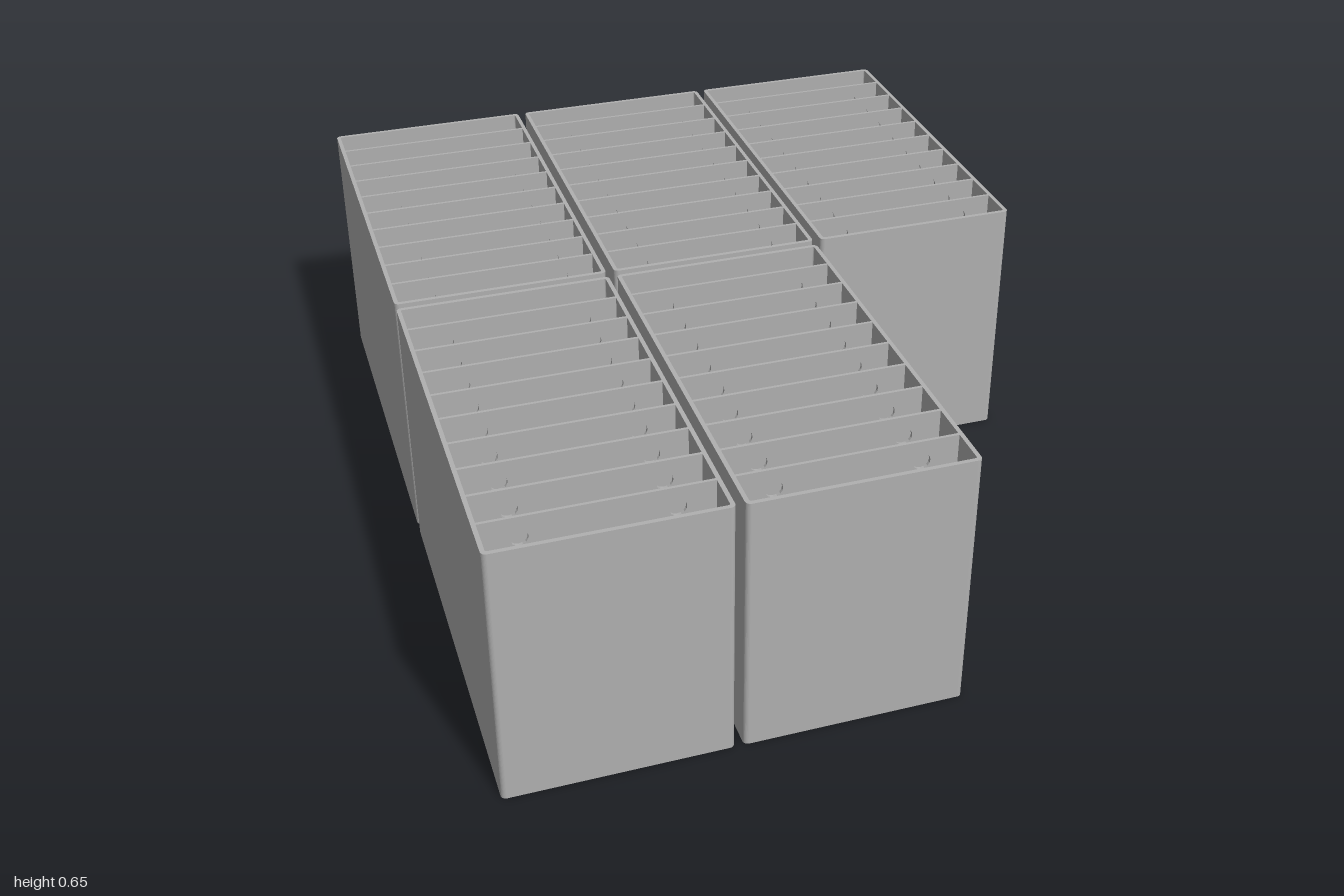
import * as THREE from 'three';

const W = 0.517, D = 0.99, H = 0.645, GAP = 0.02; // one bin and its spacing
const WALL = 0.01, FLOOR = 0.012, SLOTS = 10, DIVIDER = 0.007;

function roundedRect(w, d, r, Type = THREE.Shape) {
  const x = w / 2, y = d / 2;
  const s = new Type();
  s.moveTo(-x + r, -y);
  s.lineTo(x - r, -y);
  s.absarc(x - r, -y + r, r, -Math.PI / 2, 0, false);
  s.lineTo(x, y - r);
  s.absarc(x - r, y - r, r, 0, Math.PI / 2, false);
  s.lineTo(-x + r, y);
  s.absarc(-x + r, y - r, r, Math.PI / 2, Math.PI, false);
  s.lineTo(-x, -y + r);
  s.absarc(-x + r, -y + r, r, Math.PI, Math.PI * 1.5, false);
  return s;
}

// Extrude a plan outline upwards from y = 0
function extrudeUp(shape, height) {
  return new THREE.ExtrudeGeometry(shape, { depth: height, bevelEnabled: false, curveSegments: 4 })
    .rotateX(-Math.PI / 2);
}

export function createModel() {
  const grey = new THREE.MeshStandardMaterial({ color: 0xb0b0b0 });
  grey.name = 'plain grey';

  // Open rim wall and floor slab
  const ring = roundedRect(W, D, 0.012);
  ring.holes.push(roundedRect(W - 2 * WALL, D - 2 * WALL, 0.004, THREE.Path));
  const wallGeo = extrudeUp(ring, H - FLOOR).translate(0, FLOOR, 0);
  const floorGeo = extrudeUp(roundedRect(W, D, 0.012), FLOOR);

  // Divider panel with two small round holes near its top edge
  const panel = new THREE.Shape();
  const half = W / 2 - WALL;
  panel.moveTo(-half, FLOOR);
  panel.lineTo(half, FLOOR);
  panel.lineTo(half, H);
  panel.lineTo(-half, H);
  panel.closePath();
  for (const side of [-1, 1]) {
    const hole = new THREE.Path();
    hole.absarc(side * 0.165, H - 0.05, 0.02, 0, Math.PI * 2, true);
    panel.holes.push(hole);
  }
  const dividerGeo = new THREE.ExtrudeGeometry(panel, { depth: DIVIDER, bevelEnabled: false, curveSegments: 8 })
    .translate(0, 0, -DIVIDER / 2);

  function makeBin() {
    const bin = new THREE.Group();
    const add = (geo, name, z = 0) => {
      const mesh = new THREE.Mesh(geo, grey);
      mesh.name = name;
      mesh.position.z = z;
      bin.add(mesh);
    };
    add(wallGeo, 'binWall');
    add(floorGeo, 'binFloor');
    const pitch = (D - WALL) / SLOTS;
    for (let i = 1; i < SLOTS; i++) add(dividerGeo, 'divider', (i - SLOTS / 2) * pitch);
    return bin;
  }

  // Three bins at the back, two at the front
  const model = new THREE.Group();
  model.name = 'dividedBins';
  for (const [col, row] of [[-1, -1], [0, -1], [1, -1], [-1, 1], [0, 1]]) {
    const bin = makeBin();
    bin.name = 'bin';
    bin.position.set(col * (W + GAP), 0, row * (D + GAP) / 2);
    model.add(bin);
  }
  return model;
}
